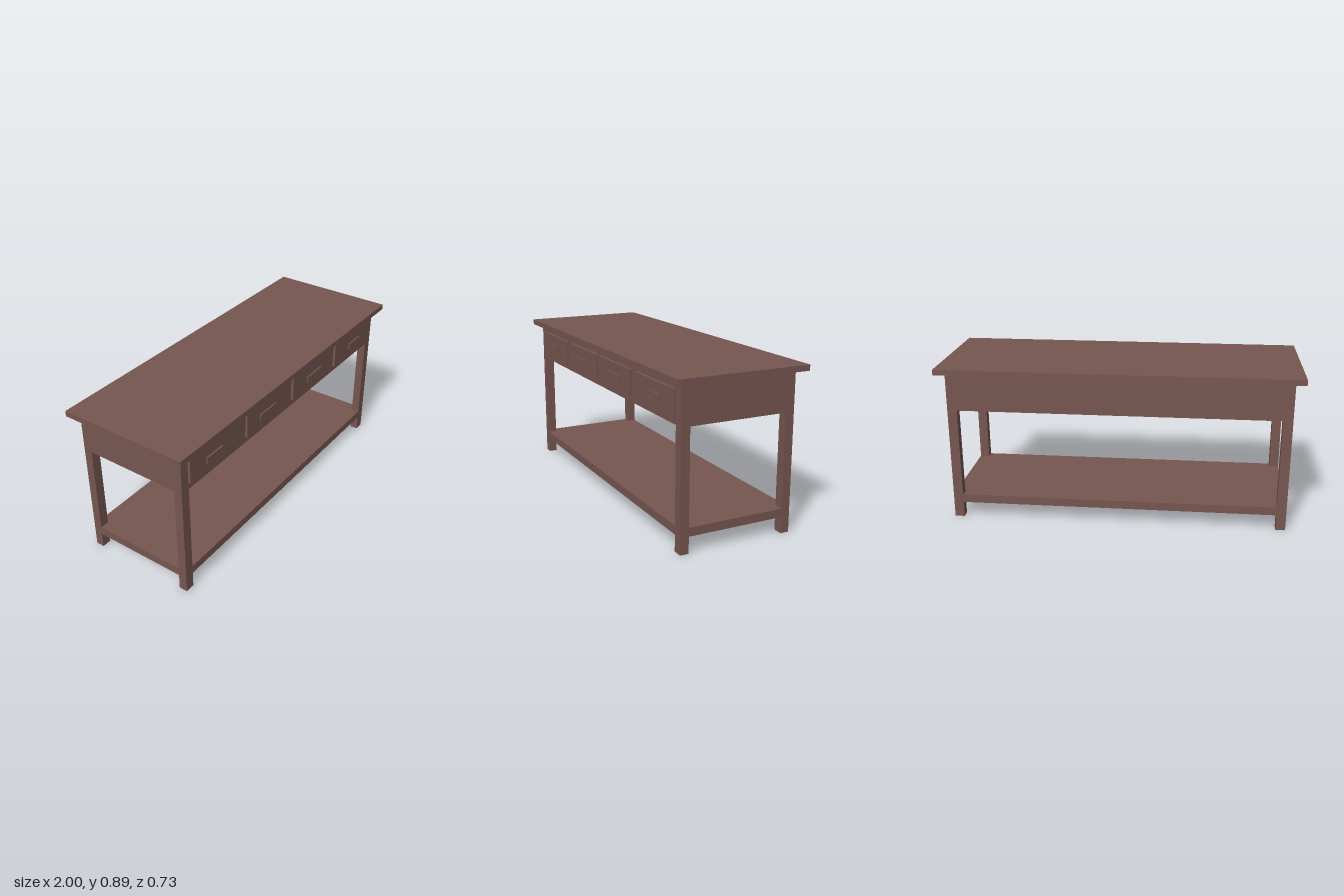
import * as THREE from 'three';

export function createModel() {
  const table = new THREE.Group();
  table.name = 'consoleTable';
  const wood = new THREE.MeshStandardMaterial({ color: 0x775651 });
  wood.name = 'brown wood';

  // Box given by its minimum and maximum on each axis
  const addBox = (name, [x0, x1], [y0, y1], [z0, z1]) => {
    const mesh = new THREE.Mesh(new THREE.BoxGeometry(x1 - x0, y1 - y0, z1 - z0), wood);
    mesh.position.set((x0 + x1) / 2, (y0 + y1) / 2, (z0 + z1) / 2);
    mesh.name = name;
    table.add(mesh);
  };

  const outerX = 0.948, innerX = 0.894, outerZ = 0.321, innerZ = 0.273;
  const underside = 0.862;

  // Overhanging top
  addBox('tableTop', [-1, 1], [underside, 0.893], [-0.367, 0.367]);

  // Drawer case, as a cross-shaped pair of blocks filling the space between the legs
  addBox('drawerCase', [-innerX, innerX], [0.648, underside], [-outerZ, outerZ]);

  // Lower shelf
  addBox('shelf', [-innerX, innerX], [0.09, 0.137], [-outerZ, outerZ]);

  // Four legs, with case and shelf ends between each front and back pair
  for (const [side, x] of [['left', [innerX, outerX]], ['right', [-outerX, -innerX]]]) {
    addBox(side + 'FrontLeg', x, [0, underside], [innerZ, outerZ]);
    addBox(side + 'BackLeg', x, [0, underside], [-outerZ, -innerZ]);
    addBox(side + 'CaseEnd', x, [0.648, underside], [-innerZ, innerZ]);
    addBox(side + 'ShelfEnd', x, [0.09, 0.137], [-innerZ, innerZ]);
  }

  // Four drawer fronts with bar handles: front span, handle span
  const drawers = [
    [[-0.896, -0.48], [-0.77, -0.64]],
    [[-0.422, -0.02], [-0.31, -0.162]],
    [[0.017, 0.418], [0.16, 0.306]],
    [[0.477, 0.894], [0.637, 0.766]],
  ];
  drawers.forEach(([front, handle], i) => {
    addBox('drawerFront' + (i + 1), front, [0.684, 0.826], [outerZ - 0.005, 0.336]);
    addBox('drawerHandle' + (i + 1), handle, [0.733, 0.768], [0.33, 0.344]);
  });

  return table;
}
